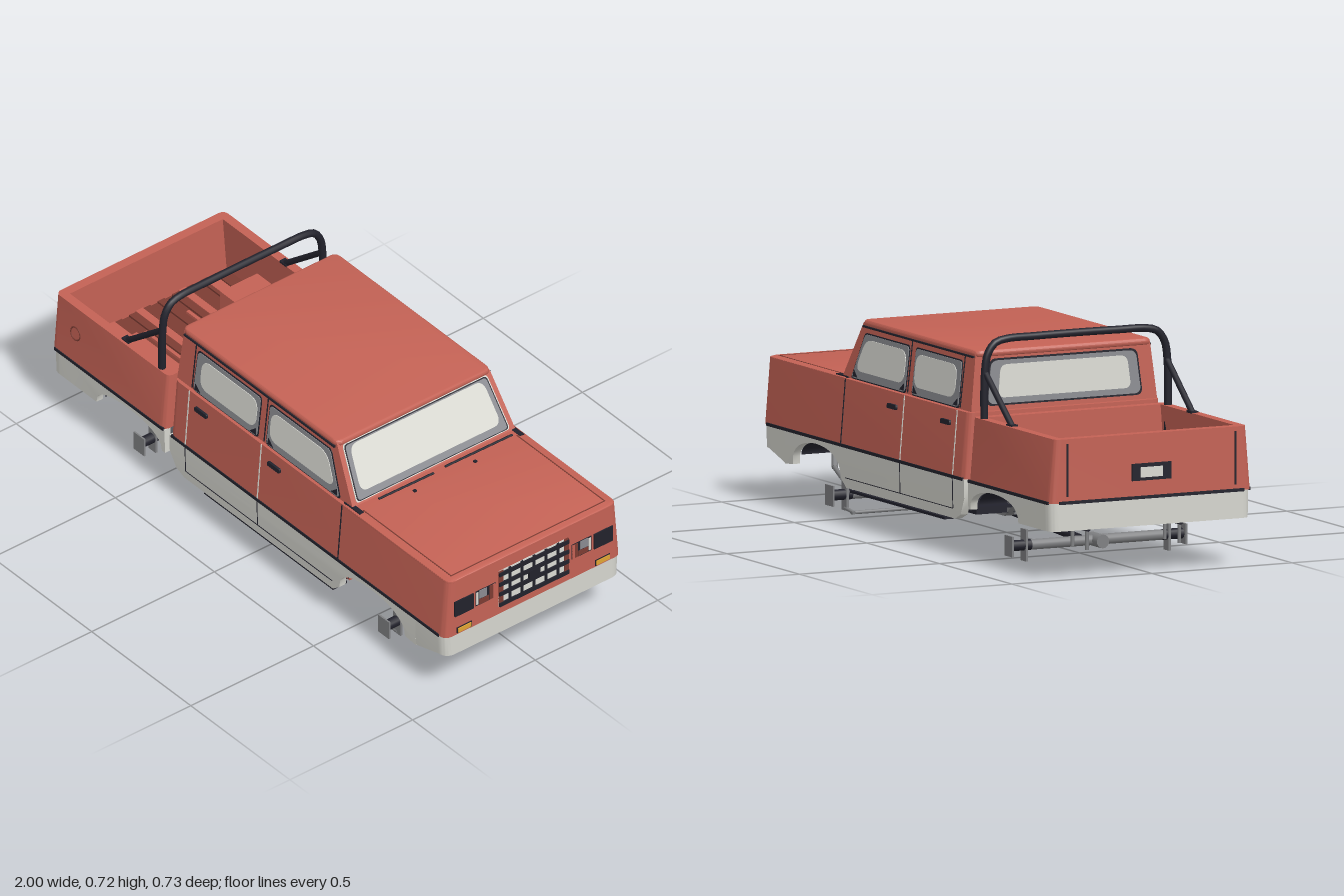
import * as THREE from 'three';
import { toCreasedNormals } from 'three/addons/utils/BufferGeometryUtils.js';

const mat = (name, color, side = THREE.FrontSide) => {
  const m = new THREE.MeshStandardMaterial({ color, side });
  m.name = name;
  return m;
};

export function createModel() {
  const red = mat('body red', 0xc46255), white = mat('lower white', 0xd6d6cf);
  const darkRed = mat('bed floor red', 0x7c3c33);
  const black = mat('trim black', 0x22222c, THREE.DoubleSide), grey = mat('chassis grey', 0x7f8082);
  const glass = mat('glass grey', 0x8a8b90), pale = mat('pale glass', 0xdadad3);
  const amber = mat('amber', 0xe0a434);
  const root = new THREE.Group();

  const add = (name, geo, m) => {
    const mesh = new THREE.Mesh(geo, m);
    mesh.name = name;
    root.add(mesh);
    return mesh;
  };
  const box = (name, m, x0, x1, y0, y1, z0, z1) =>
    add(name, new THREE.BoxGeometry(x1 - x0, y1 - y0, z1 - z0), m)
      .position.set((x0 + x1) / 2, (y0 + y1) / 2, (z0 + z1) / 2);
  const boxPair = (name, m, x0, x1, y0, y1, z0, z1) => {
    box(name, m, x0, x1, y0, y1, z0, z1);
    box(name, m, x0, x1, y0, y1, -z1, -z0);
  };
  const rod = (name, m, a, b, r, sides = 12) => {
    const p = new THREE.Vector3(...a), q = new THREE.Vector3(...b);
    const mesh = add(name, new THREE.CylinderGeometry(r, r, p.distanceTo(q), sides), m);
    mesh.position.copy(p).add(q).multiplyScalar(0.5);
    mesh.quaternion.setFromUnitVectors(new THREE.Vector3(0, 1, 0), q.sub(p).normalize());
  };
  const warp = (geo, rule) => {
    const p = geo.attributes.position, v = new THREE.Vector3();
    for (let i = 0; i < p.count; i++) {
      rule(v.fromBufferAttribute(p, i));
      p.setXYZ(i, v.x, v.y, v.z);
    }
    return toCreasedNormals(geo, 0.6);
  };

  // half width of the body at each height, with a step in at the belt line
  const section = [[0.12, 0.356], [0.2, 0.36], [0.25, 0.36], [0.465, 0.342], [0.4651, 0.332], [0.66, 0.31]];
  const halfWidth = (y) => {
    if (y <= section[0][0]) return section[0][1];
    for (let i = 1; i < section.length; i++) {
      const [a, wa] = section[i - 1], [b, wb] = section[i];
      if (y <= b) return wa + (wb - wa) * (y - a) / (b - a);
    }
    return 0.31;
  };

  // polygon with rounded corners
  const poly = (pts, r = 0) => {
    const s = new THREE.Shape(), v = pts.map((p) => new THREE.Vector2(...p)), n = v.length;
    v.forEach((c, i) => {
      const toward = (o) => c.clone().add(o.clone().sub(c).setLength(r));
      const a = toward(v[(i + n - 1) % n]), b = toward(v[(i + 1) % n]);
      if (i) s.lineTo(a.x, a.y); else s.moveTo(a.x, a.y);
      if (r) s.quadraticCurveTo(c.x, c.y, b.x, b.y);
    });
    s.closePath();
    return s;
  };
  const rect = (x0, x1, y0, y1, r = 0) => poly([[x0, y0], [x1, y0], [x1, y1], [x0, y1]], r);
  const extrude = (shape, depth, b = 0) => new THREE.ExtrudeGeometry(shape, {
    depth, curveSegments: 10, bevelEnabled: b > 0, bevelSize: b, bevelThickness: b, bevelOffset: -b, bevelSegments: 3,
  });

  // plan shape raised from y0 to y1, following the body taper
  const raise = (name, m, shape, y0, y1, b = 0, rule = () => {}) => {
    const geo = extrude(shape, y1 - y0 - 2 * b, b).rotateX(-Math.PI / 2).translate(0, y0 + b, 0);
    add(name, warp(geo, (v) => { v.z *= halfWidth(v.y) / 0.36; rule(v); }), m);
  };
  // profile in x and y laid on both body sides
  const sides = (name, m, shape, t, out = 0) => [1, -1].forEach((s) =>
    add(name, warp(extrude(shape, t), (v) => {
      v.z += s > 0 ? halfWidth(v.y) + out - t : -halfWidth(v.y) - out;
    }), m));
  // profile in z and y set across the body along a sloping line
  const across = (name, m, shape, t, xAt) =>
    add(name, warp(extrude(shape, t).rotateY(Math.PI / 2), (v) => { v.x += xAt(v.y); }), m);

  const ring = (x0, x1, t, r) => {
    const s = rect(x0, x1, -0.36, 0.36, r);
    s.holes.push(rect(x0 + t, x1 - t, -0.36 + t, 0.36 - t));
    return s;
  };
  const bumper = (xo, xe) => {
    const d = Math.sign(xe - xo), r = 0.04, h = 0.36, t = 0.03, s = new THREE.Shape();
    s.moveTo(xo, -h);
    s.lineTo(xe - d * r, -h).quadraticCurveTo(xe, -h, xe, -h + r);
    s.lineTo(xe, h - r).quadraticCurveTo(xe, h, xe - d * r, h);
    [[xo, h], [xo, h - t], [xe - d * t, h - t], [xe - d * t, t - h], [xo, t - h]].forEach((p) => s.lineTo(...p));
    return s;
  };
  const arch = (cx, base) => Array.from({ length: 17 }, (_, i) => {
    const a = Math.PI * i / 16;
    return [cx - 0.165 * Math.cos(a), base + (0.232 - base) * Math.sin(a) ** 0.75];
  });

  // red body sides, hood and bed walls
  raise('cabAndFenders', red, ring(-0.4, 0.99, 0.03, 0.03), 0.25, 0.463);
  raise('hood', red, rect(0.45, 0.99, -0.36, 0.36, 0.03), 0.452, 0.467, 0.006);
  boxPair('hoodSeam', darkRed, 0.52, 0.965, 0.464, 0.468, 0.311, 0.315);
  box('hoodSeam', darkRed, 0.961, 0.965, 0.464, 0.468, -0.315, 0.315);
  boxPair('washerJet', black, 0.54, 0.55, 0.464, 0.472, 0.118, 0.128);
  box('firewall', red, 0.44, 0.46, 0.156, 0.46, -0.32, 0.32);
  raise('bedWalls', red, ring(-0.995, -0.425, 0.033, 0.025), 0.25, 0.455);
  box('bedFloor', darkRed, -0.97, -0.45, 0.24, 0.25, -0.335, 0.335);
  box('bedUnderside', red, -0.97, -0.45, 0.235, 0.24, -0.335, 0.335);
  for (let i = -5; i <= 5; i++) box('bedRib', darkRed, -0.96, -0.46, 0.25, 0.257, i * 0.058 - 0.014, i * 0.058 + 0.014);
  for (const z of [-0.145, 0.03, 0.145]) box('bedStrip', red, -0.97, -0.45, 0.25, 0.259, z - 0.014, z + 0.014);
  boxPair('bedStrip', red, -0.86, -0.57, 0.25, 0.259, 0.08, 0.092);
  boxPair('bedStrip', red, -0.95, -0.8, 0.25, 0.259, 0.23, 0.27);
  boxPair('wheelWell', red, -0.8, -0.455, 0.25, 0.33, 0.17, 0.325);

  // white lower body
  sides('lowerCabSide', white, poly([[-0.4, 0.25], [-0.4, 0.19], [-0.37, 0.135], [-0.33, 0.117], [0.42, 0.117],
    ...arch(0.62, 0.145), [0.84, 0.14], [0.84, 0.25]]), 0.025);
  raise('frontBumper', white, bumper(0.83, 0.99), 0.14, 0.25, 0, (v) => {
    if (v.y < 0.2) v.y += 0.035 * THREE.MathUtils.clamp((v.x - 0.84) / 0.1, 0, 1);
  });
  sides('lowerBedSide', white, poly([[-0.9, 0.25], [-0.9, 0.16], ...arch(-0.605, 0.16), [-0.425, 0.16], [-0.425, 0.25]]), 0.025);
  raise('rearBumper', white, bumper(-0.89, -0.995), 0.16, 0.25);
  sides('bodyStripe', black, rect(-0.39, 0.96, 0.246, 0.256), 0.006, 0.003);
  sides('bedStripe', black, rect(-0.98, -0.43, 0.246, 0.256), 0.006, 0.003);
  box('tailStripe', black, -0.999, -0.992, 0.246, 0.256, -0.33, 0.33);

  // wheel arch liners with a dark inner panel
  for (const cx of [0.62, -0.605]) {
    for (const s of [1, -1]) {
      const liner = add('archLiner', new THREE.CylinderGeometry(0.15, 0.15, 0.12, 20, 1, true, -Math.PI / 2, Math.PI), black);
      liner.geometry.rotateX(-Math.PI / 2);
      liner.scale.y = 0.4;
      liner.position.set(cx, 0.176, s * 0.275);
    }
    boxPair('archInnerPanel', black, cx - 0.13, cx + 0.13, 0.177, 0.235, 0.2, 0.206);
  }

  // cab upper half
  const screenX = (y) => 0.49 - 0.105 * (y - 0.465) / 0.185;
  const backX = (y) => -0.395 + 0.01 * (y - 0.465) / 0.185;
  sides('upperCabSide', red, poly([[-0.395, 0.4652], [0.49, 0.4652], [0.385, 0.65], [-0.385, 0.65]]), 0.025);
  raise('roof', red, rect(-0.395, 0.392, -0.364, 0.364, 0.03), 0.638, 0.659, 0.008);
  sides('roofGutter', black, rect(-0.38, 0.38, 0.635, 0.641), 0.008, 0.006);
  boxPair('cowlTrim', black, 0.45, 0.53, 0.461, 0.469, 0.318, 0.335);
  const trapezoid = (inset, y0, y1, r) => {
    const a = halfWidth(y0) - inset, b = halfWidth(y1) - inset;
    return poly([[-a, y0], [a, y0], [b, y1], [-b, y1]], r);
  };
  across('screenFrame', red, trapezoid(0.004, 0.4655, 0.65, 0.002), 0.02, (y) => screenX(y) - 0.02);
  across('backPanel', red, trapezoid(0.004, 0.4655, 0.65, 0.002), 0.02, backX);
  [['screenRim', white, 0.018, 0.474, 0.643, 0.012, 0.002], ['screenSeal', black, 0.022, 0.477, 0.64, 0.012, 0.003],
    ['windscreen', glass, 0.026, 0.48, 0.637, 0.012, 0.004], ['screenCentre', pale, 0.042, 0.5, 0.634, 0.03, 0.005],
  ].forEach(([n, m, inset, y0, y1, r, out]) =>
    across(n, m, trapezoid(inset, y0, y1, r), 0.005, (y) => screenX(y) + out - 0.005));
  [['backSeal', black, 0.05, 0.48, 0.63, 0.002], ['backWindow', glass, 0.056, 0.486, 0.624, 0.004],
    ['backCentre', pale, 0.09, 0.505, 0.61, 0.006],
  ].forEach(([n, m, inset, y0, y1, out]) => across(n, m, trapezoid(inset, y0, y1, 0.025), 0.005, (y) => backX(y) - out));

  // side windows, grown outward for the seal
  const rearPane = (g) => poly([[-0.31 - g, 0.47 - g], [0.01 + g, 0.47 - g], [0.01 + g, 0.615 + g], [-0.305 - g, 0.615 + g]], 0.015);
  const frontPane = (g) => poly([[0.058 - g, 0.47 - g], [0.425 + g * 1.5, 0.47 - g], [0.36 + g, 0.615 + g], [0.058 - g, 0.615 + g]], 0.015);
  for (const pane of [rearPane, frontPane]) {
    sides('windowSeal', black, pane(0.004), 0.004, 0.002);
    sides('sideWindow', glass, pane(0), 0.004, 0.004);
  }
  sides('windowCentre', pale, rect(-0.28, 0, 0.495, 0.6, 0.04), 0.004, 0.006);
  sides('windowCentre', pale, poly([[0.07, 0.495], [0.4, 0.495], [0.348, 0.6], [0.07, 0.6]], 0.04), 0.004, 0.006);
  for (const [x, d] of [[-0.305, 1], [0.005, -1], [0.063, 1], [0.415, -1]])
    sides('windowCorner', black, poly([[x, 0.474], [x + d * 0.032, 0.474], [x + d * 0.003, 0.498]]), 0.004, 0.005);

  // door seams and handles
  for (const x of [-0.32, 0.043, 0.45]) {
    sides('doorSeam', x < 0.4 ? pale : black, rect(x - 0.002, x + 0.002, 0.257, 0.462), 0.005, 0.002);
    if (x < 0.4) sides('doorSeam', black, rect(x - 0.002, x + 0.002, 0.47, 0.636), 0.005, 0.002);
    if (x < 0.4) sides('doorSeam', black, rect(x - 0.0015, x + 0.0015, 0.15, 0.246), 0.005, 0.002);
  }
  sides('sillSeam', black, rect(-0.32, 0.42, 0.148, 0.15), 0.005, 0.002);
  for (const x of [-0.283, 0.085]) sides('doorHandle', black, rect(x, x + 0.06, 0.41, 0.425, 0.004), 0.014, 0.008);
  const cap = add('fuelCap', new THREE.TorusGeometry(0.023, 0.0025, 6, 28), darkRed);
  cap.position.set(-0.885, 0.36, 0.351);
  cap.rotation.x = -0.084;

  // grille and lamps
  box('grilleBack', pale, 0.988, 0.992, 0.28, 0.42, -0.142, 0.142);
  boxPair('grilleEdge', darkRed, 0.99, 0.994, 0.28, 0.42, 0.124, 0.142);
  for (const y of [0.288, 0.33, 0.368, 0.407]) box('grilleBar', black, 0.99, 0.998, y - 0.007, y + 0.007, -0.142, 0.142);
  for (let i = -2; i <= 2; i++) box('grillePost', black, 0.99, 0.997, 0.28, 0.42, i * 0.049 - 0.004, i * 0.049 + 0.004);
  box('grilleCentre', black, 0.992, 1, 0.335, 0.368, -0.022, 0.022);
  boxPair('headlight', black, 0.986, 0.995, 0.325, 0.383, 0.245, 0.322);
  boxPair('lampRecessRim', black, 0.986, 0.991, 0.325, 0.383, 0.155, 0.236);
  boxPair('lampRecess', darkRed, 0.986, 0.993, 0.327, 0.381, 0.157, 0.18);
  boxPair('lampRecessEdge', red, 0.986, 0.994, 0.327, 0.381, 0.157, 0.166);
  boxPair('innerLamp', glass, 0.986, 0.993, 0.35, 0.381, 0.19, 0.222);
  boxPair('innerLampCentre', pale, 0.986, 0.993, 0.33, 0.378, 0.225, 0.234);
  boxPair('innerLampBase', darkRed, 0.986, 0.993, 0.328, 0.347, 0.182, 0.222);
  boxPair('indicatorRim', black, 0.986, 0.992, 0.255, 0.277, 0.252, 0.312);
  boxPair('indicator', amber, 0.986, 0.995, 0.258, 0.274, 0.255, 0.309);

  // wipers, tailgate details
  rod('wiper', black, [0.512, 0.471, -0.3], [0.508, 0.471, -0.03], 0.004, 6);
  rod('wiper', black, [0.512, 0.471, 0.02], [0.508, 0.471, 0.24], 0.004, 6);
  boxPair('tailgateSeam', black, -0.998, -0.993, 0.27, 0.44, 0.298, 0.302);
  box('plateHolder', black, -0.999, -0.99, 0.305, 0.36, -0.07, 0.07);
  box('plate', pale, -1, -0.992, 0.315, 0.348, -0.04, 0.04);

  // roll bar with braces
  const half = [[0.27, 0.325], [0.45, 0.328], [0.6, 0.326], [0.66, 0.316], [0.695, 0.29], [0.706, 0.25], [0.708, 0.15]];
  const loop = [...half, [0.709, 0]].map(([y, z]) => new THREE.Vector3(-0.477, y, z))
    .concat(half.map(([y, z]) => new THREE.Vector3(-0.477, y, -z)).reverse());
  add('rollBar', new THREE.TubeGeometry(new THREE.CatmullRomCurve3(loop), 80, 0.0125, 12), black);
  for (const s of [1, -1]) {
    rod('rollBarBrace', black, [-0.48, 0.6, s * 0.324], [-0.66, 0.452, s * 0.322], 0.01);
    box('braceFoot', black, -0.675, -0.64, 0.453, 0.46, s * 0.322 - 0.012, s * 0.322 + 0.012);
  }

  // floor and running boards
  box('cabFloor', black, -0.38, 0.44, 0.148, 0.156, -0.33, 0.33);
  box('floorPan', black, -0.34, 0.42, 0.126, 0.15, -0.285, 0.285);
  boxPair('runningBoard', black, -0.24, 0.41, 0.102, 0.11, 0.29, 0.348);
  for (const x of [-0.15, 0.1, 0.33]) boxPair('boardBracket', grey, x - 0.01, x + 0.01, 0.108, 0.116, 0.16, 0.32);

  // ladder frame, stepped up over both axles
  const rail = poly([[-0.95, 0.17], [-0.4, 0.17], [-0.32, 0.112], [0.4, 0.112], [0.48, 0.17], [0.94, 0.17],
    [0.94, 0.205], [0.46, 0.205], [0.38, 0.15], [-0.3, 0.15], [-0.38, 0.205], [-0.95, 0.205]]);
  for (const z of [0.145, -0.175]) add('frameRail', extrude(rail, 0.03).translate(0, 0, z), grey);
  for (const x of [-0.93, -0.75, -0.5, 0.55, 0.88]) box('crossMember', grey, x - 0.02, x + 0.02, 0.168, 0.2, -0.145, 0.145);
  for (const x of [-0.25, 0, 0.4]) box('crossMember', grey, x - 0.025, x + 0.025, 0.106, 0.128, -0.15, 0.15);
  box('transmission', grey, 0.1, 0.43, 0.098, 0.15, -0.06, 0.065);
  box('transferCase', grey, 0.1, 0.22, 0.078, 0.13, -0.14, 0.05);
  box('engineSump', grey, 0.46, 0.68, 0.178, 0.26, -0.065, 0.065);
  rod('rearDriveshaft', black, [-0.5, 0.052, 0], [0.13, 0.088, 0], 0.014);
  rod('frontDriveshaft', grey, [0.13, 0.092, -0.12], [0.52, 0.052, -0.12], 0.013);

  // axles, hubs and steering
  for (const [x, dz] of [[0.622, -0.12], [-0.613, 0]]) {
    rod('axle', grey, [x, 0.063, -0.27], [x, 0.063, 0.27], 0.017, 16);
    rod('differential', grey, [x - 0.05, 0.063, dz], [x + 0.03, 0.063, dz], 0.022, 16);
    rod('differentialCap', black, [x + 0.03, 0.063, dz], [x + 0.04, 0.063, dz], 0.019, 16);
    for (const s of [1, -1]) {
      rod('axleEnd', black, [x, 0.063, s * 0.235], [x, 0.063, s * 0.312], 0.0175, 14);
      box('hubPlate', grey, x - 0.027, x + 0.027, 0.03, 0.096, s * 0.31 - 0.003, s * 0.31 + 0.003);
      box('knuckle', grey, x - 0.018, x + 0.018, 0.012, 0.115, s * 0.255 - 0.004, s * 0.255 + 0.004);
    }
  }
  rod('tieRod', grey, [0.57, 0.011, -0.26], [0.57, 0.011, 0.26], 0.006);
  rod('dragLink', grey, [0.63, 0.113, -0.26], [0.77, 0.126, -0.215], 0.008);
  rod('dragLinkArm', grey, [0.77, 0.126, -0.215], [0.83, 0.175, -0.185], 0.01);
  for (const s of [1, -1]) {
    rod('steeringArm', grey, [0.56, 0.011, s * 0.255], [0.622, 0.02, s * 0.255], 0.006);
    for (const x of [-0.87, -0.77]) rod('rearHanger', grey, [x, 0.075, s * 0.165], [x, 0.175, s * 0.165], 0.006);
    rod('hangerLink', black, [-0.88, 0.142, s * 0.165], [-0.76, 0.142, s * 0.165], 0.008);
  }
  return root;
}
